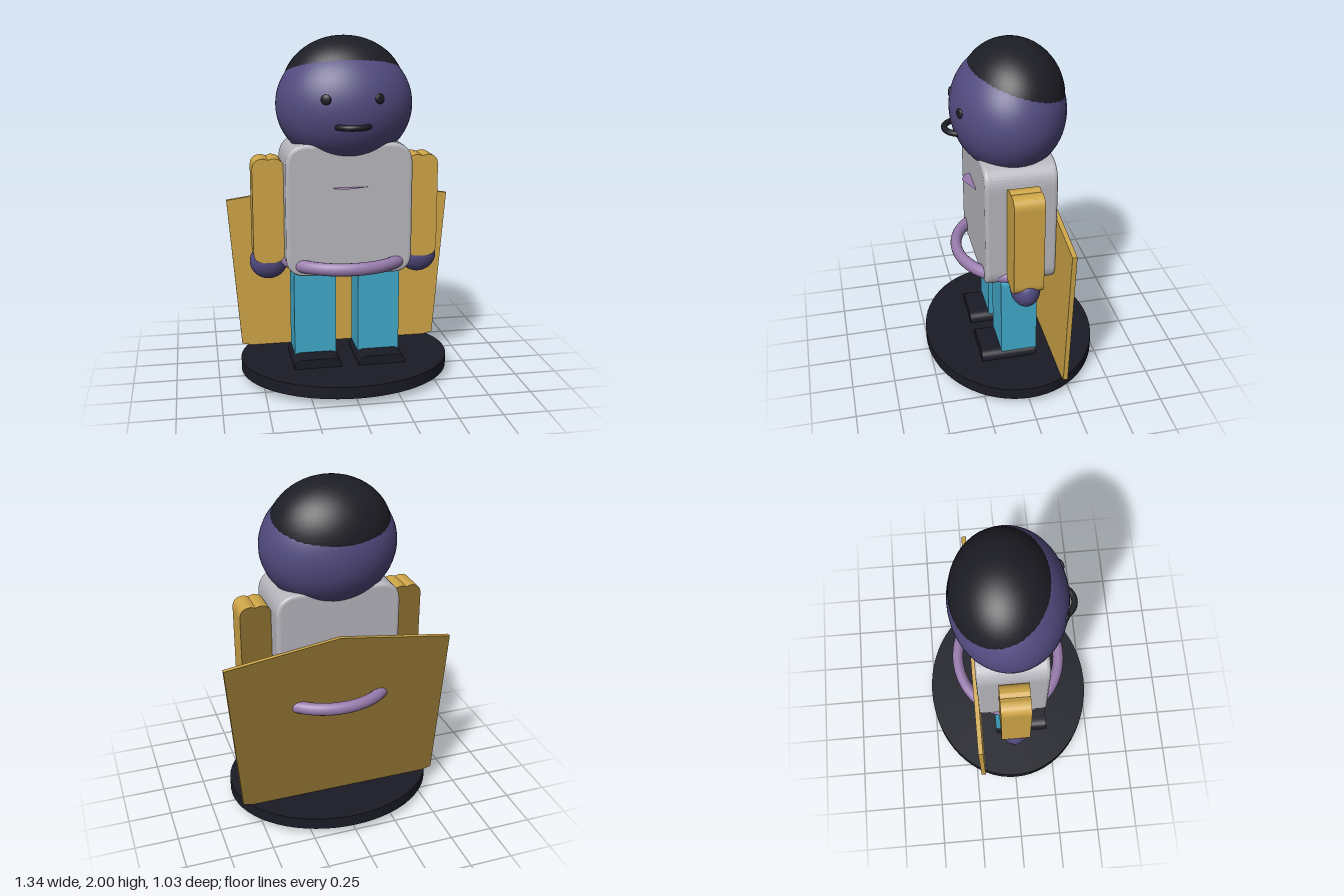
import * as THREE from 'three';

const mat = (name, color, extra = {}) => {
  const m = new THREE.MeshStandardMaterial({ color, ...extra });
  m.name = name;
  return m;
};

export function createModel() {
  const group = new THREE.Group();
  const skin = mat('violet skin', 0x524b80);
  const black = mat('hair black', 0x1d1d25);
  const navy = mat('stand black', 0x1a1b26);
  const shirt = mat('light grey', 0xb8b7be);
  const gold = mat('gold', 0xcfa648);
  const darkGold = mat('dark gold', 0x8c7030);
  const blue = mat('trouser blue', 0x41aaca);
  const pink = mat('mauve', 0x997cae);
  const badgeMat = mat('badge mauve', 0x997cae, { side: THREE.DoubleSide });

  const add = (name, geo, material, x = 0, y = 0, z = 0) => {
    const mesh = new THREE.Mesh(geo, material);
    mesh.name = name;
    mesh.position.set(x, y, z);
    group.add(mesh);
    return mesh;
  };
  const ellipsoid = (rx, ry, rz) => new THREE.SphereGeometry(1, 48, 32).scale(rx, ry, rz);
  const polygon = (points) => new THREE.Shape(points.map(([x, y]) => new THREE.Vector2(x, y)));

  // Rounded rectangle in x/y with separate top and bottom radii, centred on x
  const roundedShape = (w, y0, y1, rTop, rBottom, dip = 0) => {
    const h = w / 2;
    const s = new THREE.Shape();
    s.moveTo(-h + rBottom, y0);
    s.lineTo(h - rBottom, y0);
    if (rBottom) s.quadraticCurveTo(h, y0, h, y0 + rBottom);
    s.lineTo(h, y1 - rTop);
    s.quadraticCurveTo(h, y1, h - rTop, y1);
    if (dip) s.lineTo(0, y1 - dip);
    s.lineTo(-h + rTop, y1);
    s.quadraticCurveTo(-h, y1, -h, y1 - rTop);
    s.lineTo(-h, y0 + rBottom);
    if (rBottom) s.quadraticCurveTo(-h, y0, -h + rBottom, y0);
    return s;
  };
  // Extrusion from z0 to z1, with the bevel kept inside the outline
  const extrude = (shape, z0, z1, bevel = 0) =>
    new THREE.ExtrudeGeometry(shape, {
      depth: z1 - z0 - 2 * bevel, curveSegments: 12, bevelEnabled: bevel > 0,
      bevelSize: bevel, bevelThickness: bevel, bevelOffset: -bevel, bevelSegments: 3,
    }).translate(0, 0, z0 + bevel);
  // Gold slab with a thin darker plate on its back
  const goldSlab = (name, shape, z0, z1, x = 0) => {
    add(name, extrude(shape, z0, z1), gold, x);
    add(name + 'Back', extrude(shape, z0 - 0.002, z0), darkGold, x);
  };

  // Oval stand
  add('base', new THREE.CylinderGeometry(1, 1, 0.07, 64).scale(0.617, 1, 0.513), navy, 0, 0.08, 0);

  // Head and hair
  add('head', ellipsoid(0.39, 0.345, 0.32), skin, 0, 1.615, 0);
  add('hair', ellipsoid(0.35, 0.3, 0.288), black, 0, 1.697, -0.021);

  // Mouth: half ring lying level
  add('mouth', new THREE.TorusGeometry(0.09, 0.017, 12, 32, Math.PI).rotateX(Math.PI / 2), black, 0, 1.523, 0.263);

  // Torso and belt
  add('torso', extrude(roundedShape(0.72, 0.663, 1.415, 0.13, 0.11), -0.202, 0.202, 0.02), shirt);
  add('belt', new THREE.TorusGeometry(0.35, 0.037, 16, 64).rotateX(Math.PI / 2).scale(1, 1, 0.875), pink, 0, 0.725, 0);

  // Badge: thin level plate emerging from the chest
  const badge = polygon([[-0.1, 0.19], [0.1, 0.19], [0.1, 0.204], [-0.03, 0.26], [-0.09, 0.235]]);
  add('badge', new THREE.ShapeGeometry(badge).rotateX(Math.PI / 2), badgeMat, 0, 1.172, 0);

  // Paired parts
  for (const [side, s] of [['left', 1], ['right', -1]]) {
    add(side + 'Eye', ellipsoid(0.029, 0.029, 0.012), black, s * 0.147, 1.67, 0.29).rotation.y = s * 0.4;
    goldSlab(side + 'Arm', roundedShape(0.18, 0.72, 1.325, 0.065, 0.065, 0.008), -0.082, 0.084, s * 0.446);
    add(side + 'Hand', ellipsoid(0.11, 0.105, 0.084), skin, s * 0.444, 0.711, 0);
    add(side + 'Leg', extrude(roundedShape(0.245, 0.145, 0.675, 0.05, 0.01), -0.106, 0.107), blue, s * 0.1875, 0, 0);
    add(side + 'Shoe', extrude(roundedShape(0.278, 0.11, 0.168, 0.056, 0), -0.1, 0.225), navy, s * 0.188, 0, 0);
  }

  // Flat cape behind the back, passing through the stand
  const cape = polygon([[0, 0], [0.6, 0.127], [0.672, 1.032], [0, 1.127], [-0.672, 1.032], [-0.6, 0.127]]);
  goldSlab('cape', cape, -0.222, -0.197);

  return group;
}
